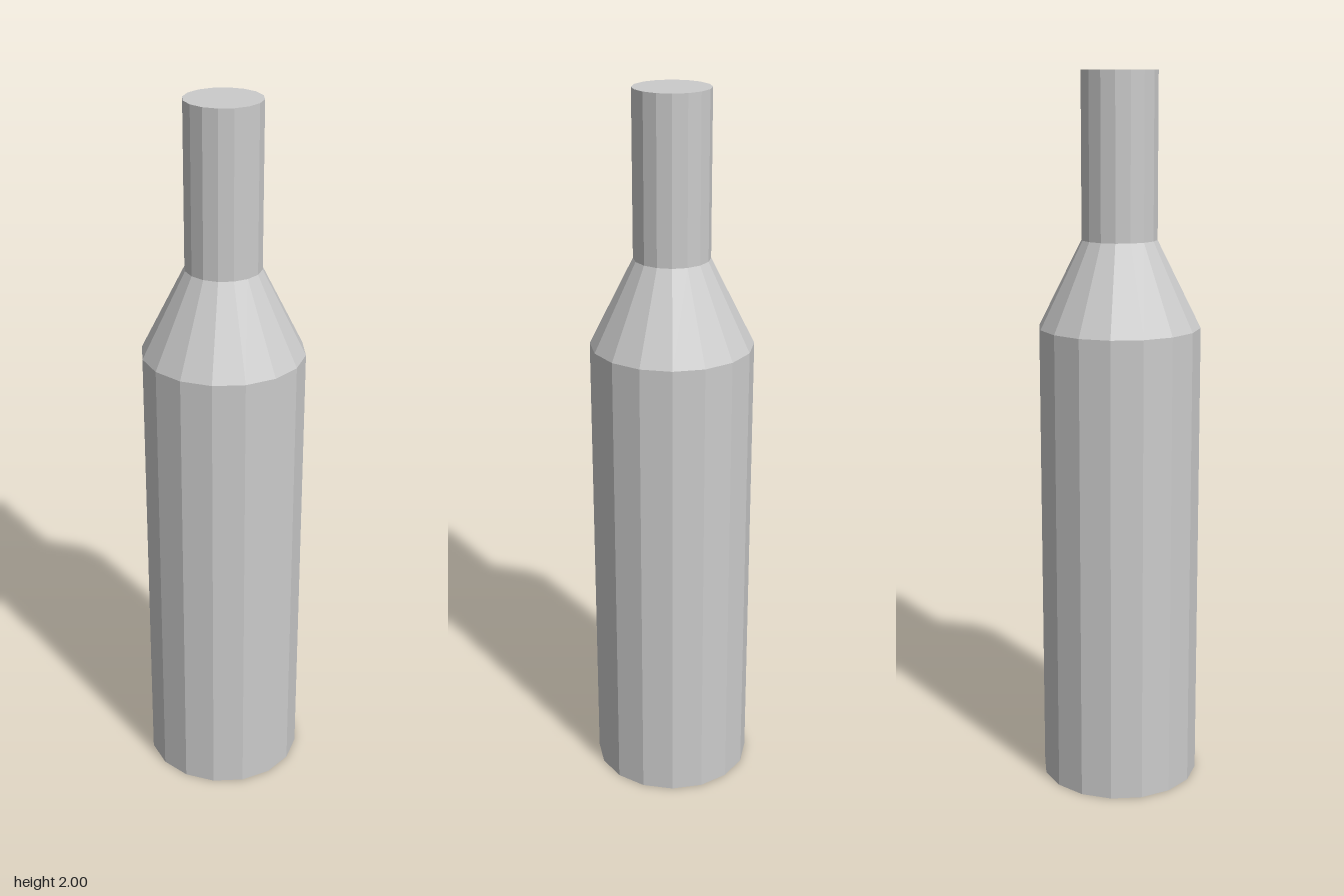
import * as THREE from 'three';

const SIDES = 16;
const BODY_RADIUS = 0.224;
const NECK_RADIUS = 0.104;
const SHOULDER_Y = 1.314;
const NECK_Y = 1.553;
const TOP_Y = 2;

export function createModel() {
  const model = new THREE.Group();
  model.name = 'bottle';
  const material = new THREE.MeshStandardMaterial({ color: 0xcccccc, flatShading: true });

  // One faceted section of the bottle between two heights
  function addSection(name, bottomRadius, topRadius, y0, y1, open) {
    const geometry = new THREE.CylinderGeometry(topRadius, bottomRadius, y1 - y0, SIDES, 1, open);
    const mesh = new THREE.Mesh(geometry, material);
    mesh.name = name;
    mesh.position.y = (y0 + y1) / 2;
    model.add(mesh);
  }

  // Closing disc, facing up or down
  function addCap(name, radius, y, facing) {
    const geometry = new THREE.CircleGeometry(radius, SIDES);
    geometry.rotateX(-facing * Math.PI / 2);
    const mesh = new THREE.Mesh(geometry, material);
    mesh.name = name;
    mesh.position.y = y;
    model.add(mesh);
  }

  addCap('base', BODY_RADIUS, 0, -1);
  addSection('body', BODY_RADIUS, BODY_RADIUS, 0, SHOULDER_Y, true);
  addSection('shoulder', BODY_RADIUS, NECK_RADIUS, SHOULDER_Y, NECK_Y, true);
  addSection('neck', NECK_RADIUS, NECK_RADIUS, NECK_Y, TOP_Y, true);
  addCap('neckTop', NECK_RADIUS, TOP_Y, 1);

  return model;
}
